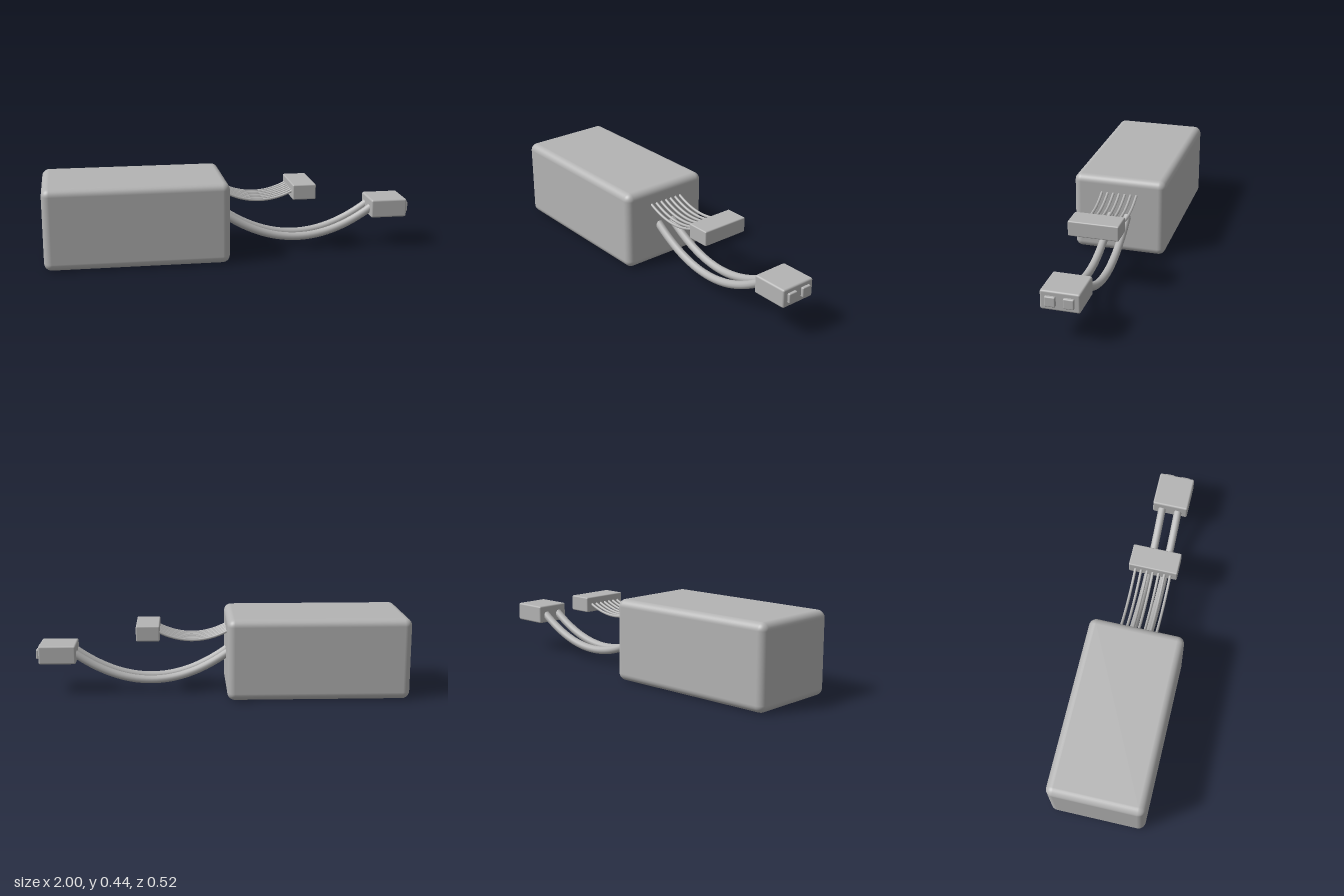
import * as THREE from 'three';
import { RoundedBoxGeometry } from 'three/addons/geometries/RoundedBoxGeometry.js';

const grey = new THREE.MeshStandardMaterial({ color: 0xb4b4b4 });
grey.name = 'grey plastic';

// Rounded box given by its minimum and maximum corners
function block(name, min, max, radius, segments = 4) {
  const size = max.map((v, i) => v - min[i]);
  const mesh = new THREE.Mesh(new RoundedBoxGeometry(...size, segments, radius), grey);
  mesh.position.set(...max.map((v, i) => (v + min[i]) / 2));
  mesh.name = name;
  return mesh;
}

// Sagging wire in the plane of constant z
function wire(name, x0, x1, endY, lowY, z, radius, sides) {
  const curve = new THREE.QuadraticBezierCurve3(
    new THREE.Vector3(x0, endY, z),
    new THREE.Vector3((x0 + x1) / 2, 2 * lowY - endY, z),
    new THREE.Vector3(x1, endY, z)
  );
  const mesh = new THREE.Mesh(new THREE.TubeGeometry(curve, 32, radius, sides), grey);
  mesh.name = name;
  return mesh;
}

export function createModel() {
  const model = new THREE.Group();
  model.name = 'batteryPack';

  // Main case
  model.add(block('case', [-1, 0, -0.258], [-0.025, 0.438, 0.258], 0.04, 5));

  // Thin balance wires and their wide plug
  const balance = new THREE.Group();
  balance.name = 'balanceLead';
  for (let i = -3; i <= 3; i++) {
    balance.add(wire('balanceWire', -0.032, 0.345, 0.35, 0.301, i * 0.0325, 0.0075, 8));
  }
  balance.add(block('balancePlug', [0.332, 0.302, -0.135], [0.459, 0.385, 0.135], 0.007, 3));
  model.add(balance);

  // Thick power wires, plug and two contacts
  const power = new THREE.Group();
  power.name = 'powerLead';
  power.add(block('powerPlug', [0.785, 0.171, -0.1], [0.985, 0.272, 0.1], 0.01, 3));
  for (const side of [-1, 1]) {
    const z = side * 0.046;
    power.add(wire('powerWire', -0.035, 0.795, 0.22, 0.07, z, 0.022, 12));
    power.add(block('contact', [0.96, 0.195, z - 0.027], [1, 0.248, z + 0.027], 0.006, 3));
  }
  model.add(power);

  return model;
}
